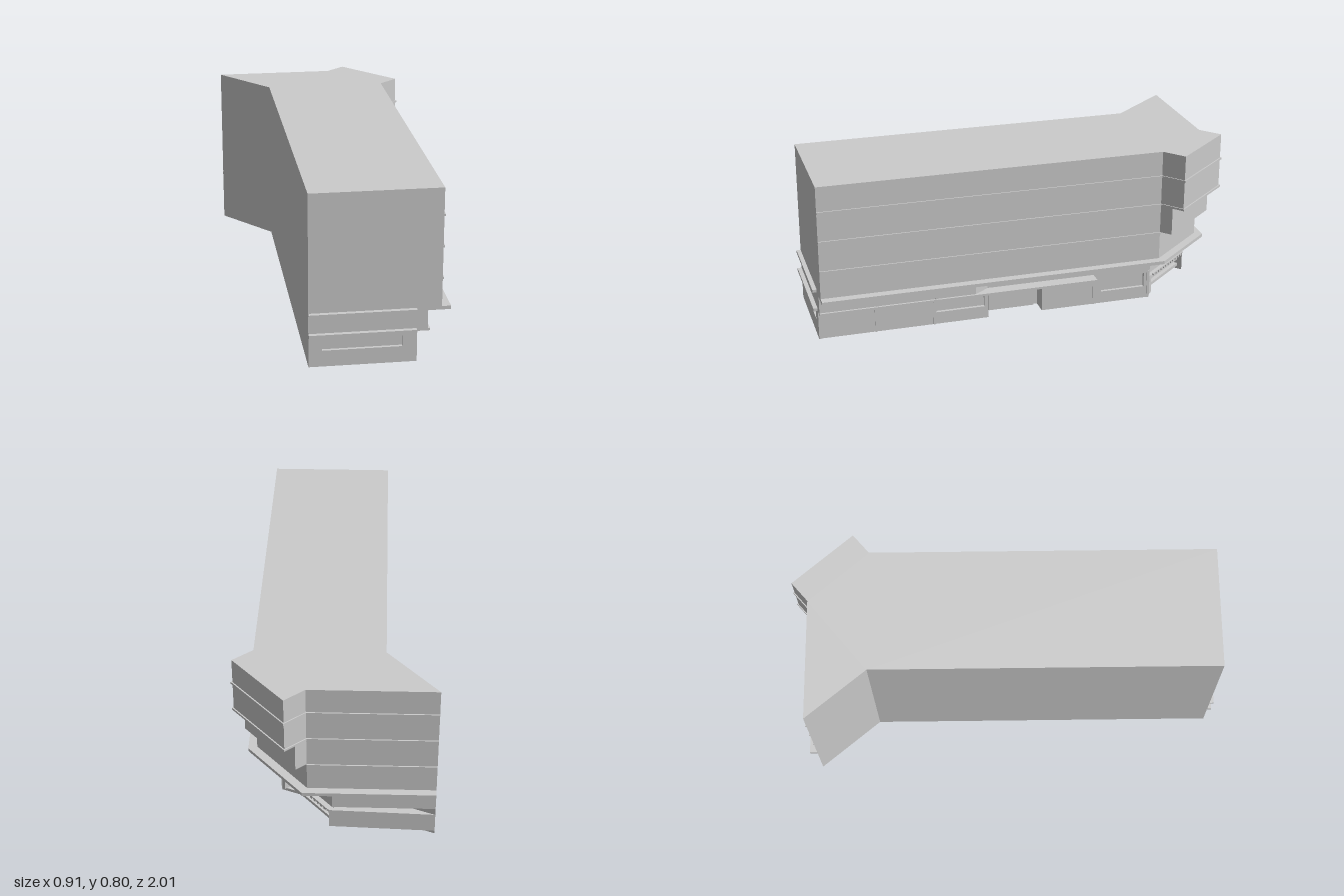
import * as THREE from 'three';

const material = new THREE.MeshStandardMaterial({ color: 0xcccccc, flatShading: true });

// Prism over a floor plan given as [x, z] corners, between two heights
function prism(name, plan, y0, y1) {
  const shape = new THREE.Shape(plan.map(([x, z]) => new THREE.Vector2(x, -z)));
  const geo = new THREE.ExtrudeGeometry(shape, { depth: y1 - y0, bevelEnabled: false });
  geo.rotateX(-Math.PI / 2).translate(0, y0, 0);
  const mesh = new THREE.Mesh(geo, material);
  mesh.name = name;
  return mesh;
}

// Box given by its extents on each axis
function box(name, [x0, x1], [y0, y1], [z0, z1]) {
  const geo = new THREE.BoxGeometry(x1 - x0, y1 - y0, z1 - z0);
  geo.translate((x0 + x1) / 2, (y0 + y1) / 2, (z0 + z1) / 2);
  const mesh = new THREE.Mesh(geo, material);
  mesh.name = name;
  return mesh;
}

// Wall from a towards b with recesses [start, end, depth] measured along it
function wall(a, b, recesses) {
  const len = Math.hypot(b[0] - a[0], b[1] - a[1]);
  const dx = (b[0] - a[0]) / len, dz = (b[1] - a[1]) / len;
  const at = (s, d) => [a[0] + dx * s + dz * d, a[1] + dz * s - dx * d];
  const pts = [a];
  for (const [s, e, d] of recesses) pts.push(at(s, 0), at(s, d), at(e, d), at(e, 0));
  return pts;
}

const FRONT = 0.98, BACK = -0.93, TURN = -0.65;
const CHAMFER = Math.hypot(0.24, 0.28);

// Group whose +z points out of the chamfered corner wall
function cornerGroup(name, x) {
  const g = new THREE.Group();
  g.name = name;
  g.position.set(x - 0.12, 0, (TURN + BACK) / 2);
  g.rotation.y = Math.atan2(0.28, -0.24);
  return g;
}

export function createModel() {
  const model = new THREE.Group();
  model.name = 'cornerBuilding';

  // Ground floor, sliced by height so that openings are recessed
  const openings = [
    { side: 'front', y: [0.075, 0.125], cut: [0.06, 0.41, 0.015] },
    { side: 'right', y: [0.06, 0.13], cut: [0.56, 0.795, 0.015] },
    { side: 'right', y: [0, 0.145], cut: [0.815, 1.08, 0.08] },
    { side: 'right', y: [0.06, 0.13], cut: [1.38, 1.6, 0.015] },
    { side: 'corner', y: [0.015, 0.11], cut: [0.02, 0.345, 0.045] },
  ];
  const levels = [0, 0.015, 0.06, 0.075, 0.11, 0.125, 0.13, 0.145];
  for (let i = 0; i < levels.length - 1; i++) {
    const mid = (levels[i] + levels[i + 1]) / 2;
    const cuts = (side) => openings
      .filter((o) => o.side === side && o.y[0] < mid && mid < o.y[1]).map((o) => o.cut);
    model.add(prism('groundFloor', [
      ...wall([-0.22, FRONT], [0.25, FRONT], cuts('front')),
      ...wall([0.25, FRONT], [0.25, TURN], cuts('right')),
      ...wall([0.25, TURN], [0.01, BACK], cuts('corner')),
      [-0.45, BACK], [-0.22, TURN],
    ], levels[i], levels[i + 1]));
  }

  // Door inside the porch recess
  model.add(box('porchDoor', [0.165, 0.18], [0, 0.11], [-0.08, 0.145]));

  // Mezzanine, stepping out along the front half of the street side
  model.add(prism('mezzanine', [
    [-0.22, FRONT], [0.3, FRONT], [0.3, 0.24], [0.25, 0.17], [0.25, TURN],
    [0.01, BACK], [-0.45, BACK], [-0.22, TURN],
  ], 0.145, 0.24));

  // Upper floors
  model.add(prism('upperFloors', [
    [-0.22, FRONT], [0.36, FRONT], [0.36, TURN], [0.12, BACK], [-0.45, BACK], [-0.22, TURN],
  ], 0.24, 0.795));

  // Main ledge above the mezzanine
  model.add(prism('mainLedge', [
    [0.2, FRONT], [0.4, FRONT], [0.4, -0.664], [0.142, -0.965], [-0.45, -0.965], [-0.45, BACK],
    [0, BACK + 0.02], [0.2, TURN],
  ], 0.238, 0.254));

  // Ledges on the front wall and canopy along the street
  for (const y of [0.143, 0.238]) {
    model.add(box('frontLedge', [-0.22, 0.25], [y, y + 0.014], [FRONT, 1]));
  }
  model.add(box('streetCanopy', [0.25, 0.31], [0.143, 0.154], [-0.36, FRONT]));

  // String courses on the street and back walls
  for (const y of [0.385, 0.53, 0.672]) {
    model.add(box('streetCourse', [0.36, 0.366], [y - 0.005, y + 0.005], [TURN, FRONT]));
    model.add(box('backCourse', [-0.45, 0.12], [y - 0.005, y + 0.005], [BACK - 0.006, BACK]));
  }

  // Thin pilasters on the lower street wall
  for (const z of [0.975, 0.71, 0.43, -0.36, -0.64]) {
    model.add(box('pilaster', [0.25, 0.254], [0, 0.143], [z - 0.005, z + 0.005]));
  }
  for (const z of [0.71, 0.43]) {
    model.add(box('upperPilaster', [0.3, 0.304], [0.154, 0.238], [z - 0.005, z + 0.005]));
  }

  // Corner bay, stepping outwards as it rises
  const bay = cornerGroup('cornerBay', 0.36);
  const half = CHAMFER / 2;
  bay.add(box('lowerBay', [-half, half], [0.39, 0.53], [0, 0.062]));
  bay.add(box('upperBay', [-half, half], [0.53, 0.795], [0, 0.118]));
  for (const y of [0.53, 0.672]) {
    bay.add(box('bayCourse', [-half - 0.005, half + 0.005], [y - 0.005, y + 0.005], [0, 0.124]));
  }
  model.add(bay);

  // Shopfront in the corner recess, with a scalloped valance
  const shop = cornerGroup('shopfront', 0.25);
  const w = 0.15;
  shop.add(box('lowerRail', [-w, w], [0.035, 0.05], [-0.045, -0.02]));
  shop.add(box('upperRail', [-w, w], [0.07, 0.085], [-0.045, -0.02]));
  shop.add(box('valance', [-w - 0.01, w + 0.01], [0.11, 0.116], [0, 0.005]));
  for (let i = 0; i < 12; i++) {
    const x = -w + (i + 0.5) * (2 * w / 12);
    shop.add(box('valanceTooth', [x - 0.007, x + 0.007], [0.1, 0.11], [-0.003, 0.005]));
  }
  model.add(shop);

  return model;
}
